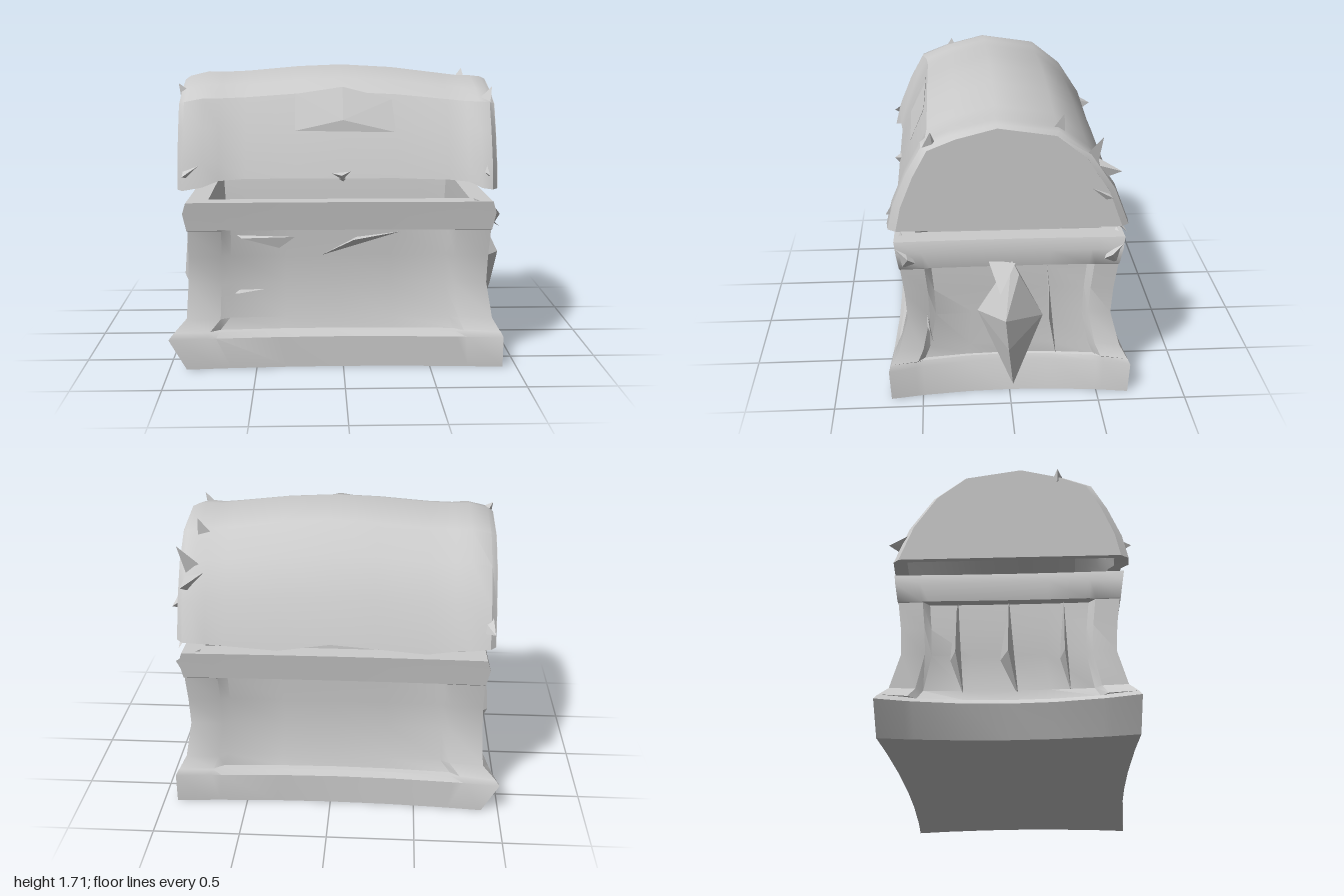
import * as THREE from 'three';
import { toCreasedNormals } from 'three/addons/utils/BufferGeometryUtils.js';
import { ConvexGeometry } from 'three/addons/geometries/ConvexGeometry.js';

const material = new THREE.MeshStandardMaterial({ color: 0xcccccc, side: THREE.DoubleSide });

// Skin closed rings of [x, y, z] points, one after another
function loft(rings) {
  const n = rings[0].length, index = [];
  for (let r = 0; r < rings.length - 1; r++) {
    for (let i = 0; i < n; i++) {
      const a = r * n + i, b = r * n + (i + 1) % n;
      index.push(a, a + n, b, b, a + n, b + n);
    }
  }
  const g = new THREE.BufferGeometry();
  g.setAttribute('position', new THREE.Float32BufferAttribute(rings.flat(2), 3));
  g.setIndex(index);
  return toCreasedNormals(g, 0.6);
}

function add(group, name, geometry) {
  const mesh = new THREE.Mesh(geometry, material);
  mesh.name = name;
  group.add(mesh);
}

// Rectangular ring whose sides bow inwards and may hold sunken panels
function boxRing(y, cx, hx, hz, bowX, bowZ, recess) {
  const steps = [-1, -0.78, -0.72, -0.35, 0, 0.35, 0.72, 0.78];
  const ring = [];
  for (let side = 0; side < 4; side++) {
    for (const t of steps) {
      const sunk = Math.abs(t) < 0.75 ? recess : 0;
      const x = hx - bowX * (1 - t * t) - sunk;
      const z = hz - bowZ * (1 - t * t) - sunk;
      if (side === 0) ring.push([cx + t * hx, y, z]);
      if (side === 1) ring.push([cx + x, y, -t * hz]);
      if (side === 2) ring.push([cx - t * hx, y, -z]);
      if (side === 3) ring.push([cx - x, y, t * hz]);
    }
  }
  return ring;
}

// Small faceted solid around a few points
function shard(group, name, points) {
  add(group, name, new ConvexGeometry(points.map(p => new THREE.Vector3(...p))));
}

function buildBase() {
  const base = new THREE.Group();
  base.name = 'base';
  // y, centre x, half width, half depth, side bow, front and back bow, panel recess
  const levels = [
    [0, 0, 0, 0, 0, 0, 0],
    [0, 0.01, 0.91, 0.68, 0.06, 0.04, 0],
    [0.18, -0.04, 0.96, 0.69, 0.1, 0.05, 0],
    [0.21, -0.035, 0.94, 0.675, 0.09, 0.05, 0.01],
    [0.215, -0.035, 0.935, 0.67, 0.07, 0.05, 0.035],
    [0.28, -0.02, 0.88, 0.63, 0.03, 0.03, 0.03],
    [0.48, -0.03, 0.86, 0.575, 0.02, 0.01, 0.02],
    [0.64, -0.025, 0.86, 0.585, 0.01, 0.01, 0.025],
    [0.795, -0.02, 0.865, 0.605, 0.01, 0.01, 0.035],
    [0.8, -0.02, 0.87, 0.61, 0.01, 0.01, 0],
    [0.9, -0.02, 0.89, 0.625, 0.01, 0.01, 0],
    [0.965, -0.02, 0.87, 0.635, 0.01, 0.01, 0],
    [0.965, -0.02, 0.75, 0.52, 0, 0, 0],
    [0.8, -0.02, 0.74, 0.5, 0, 0, 0],
    [0.25, -0.02, 0.72, 0.48, 0, 0, 0],
    [0.25, 0, 0, 0, 0, 0, 0],
  ];
  add(base, 'chestBody', loft(levels.map(l => boxRing(...l))));

  // Faceted boss on one end, upright ribs on the other
  shard(base, 'rightBoss', [[0.84, 0.84, -0.01], [0.8, 0.5, 0.18], [0.87, 0.04, -0.02],
    [0.82, 0.47, -0.19], [0.99, 0.53, 0.03], [0.95, 0.32, 0.01], [0.87, 0.76, -0.05]]);
  for (const [z, w] of [[-0.28, 0.04], [0, 0.05], [0.3, 0.03]]) {
    shard(base, 'leftRib', [[-0.84, 0.82, z], [-0.84, 0.25, z + w], [-0.84, 0.45, z - w],
      [-0.94, 0.47, z], [-0.92, 0.72, z]]);
  }
  shard(base, 'rightRib', [[0.8, 0.8, -0.21], [0.82, 0.2, -0.27], [0.8, 0.45, -0.24],
    [0.87, 0.48, -0.22], [0.85, 0.65, -0.22]]);
  shard(base, 'rightRib', [[0.8, 0.6, 0.48], [0.8, 0.28, 0.43], [0.8, 0.45, 0.49], [0.85, 0.4, 0.45]]);

  // Broken trim in the front panel
  shard(base, 'frontTrimRight', [[0.4, 0.79, 0.55], [0.08, 0.75, 0.55], [-0.2, 0.6, 0.53], [0.06, 0.74, 0.6]]);
  shard(base, 'frontTrimLeft', [[-0.62, 0.77, 0.55], [-0.2, 0.75, 0.55], [-0.22, 0.64, 0.53], [-0.58, 0.75, 0.59]]);
  shard(base, 'frontSplinter', [[-0.7, 0.41, 0.53], [-0.6, 0.47, 0.53], [-0.25, 0.47, 0.53], [-0.6, 0.42, 0.57]]);

  // Chipped rim corners
  for (const sz of [-1, 1]) {
    shard(base, 'rimChip', [[0.74, 0.98, 0.6 * sz], [0.86, 0.93, 0.63 * sz], [0.88, 0.85, 0.52 * sz],
      [0.84, 0.8, 0.6 * sz], [0.9, 0.88, 0.56 * sz]]);
  }
  shard(base, 'rimSplinter', [[0.84, 0.84, 0.12], [0.84, 0.78, 0.04], [0.85, 0.82, -0.03], [0.99, 0.7, 0.06]]);
  return base;
}

function buildLid() {
  const lid = new THREE.Group();
  lid.name = 'lid';
  const floor = 1.04;
  // Arched section as z, y from front edge to back edge
  const arch = [[0.62, 1.04], [0.59, 1.2], [0.52, 1.4], [0.44, 1.57], [0.29, 1.64],
    [0.07, 1.705], [-0.25, 1.65], [-0.42, 1.5], [-0.55, 1.28], [-0.63, 1.04]];
  const outline = (sy, front, back) => arch.map(([z, y]) => [z * (z > 0 ? front : back), floor + (y - floor) * sy]);
  const section = (x, sy, front, back, lift, sag) => {
    const outer = outline(sy, front, back).map(([z, y]) => [x, y, z]);
    outer[0][1] += lift;
    outer[outer.length - 1][1] -= sag;
    const inner = outer.map(p => [x, floor + (p[1] - floor) * 0.88, p[2] * 0.88]).reverse();
    return [...outer, ...inner];
  };
  // x, height scale, front scale, back scale, lift of front edge, sag of back edge
  const stations = [
    [-0.93, 0.87, 1, 0.97, 0, 0], [-0.9, 0.9, 1.07, 1.02, 0, 0], [-0.79, 0.94, 1.08, 1.03, 0.02, 0.01],
    [-0.7, 0.935, 1.02, 1.01, 0.05, 0.02], [-0.55, 0.945, 1, 1, 0.06, 0.045], [-0.25, 0.985, 1, 1, 0.06, 0.02],
    [0, 1, 1, 1, 0.06, 0], [0.3, 0.975, 1, 1, 0.06, 0.045], [0.6, 0.92, 1, 1.01, 0.05, 0.02],
    [0.71, 0.9, 1.02, 1.02, 0.04, 0.01], [0.78, 0.9, 1.08, 1.04, 0.01, 0], [0.84, 0.89, 1.07, 1.03, 0, 0],
    [0.87, 0.87, 1, 0.97, 0, 0]];
  add(lid, 'archedShell', loft(stations.map(s => section(...s))));

  // Solid end panels closing the shell
  const shape = new THREE.Shape(outline(0.87, 1, 0.97).map(([z, y]) => new THREE.Vector2(-z, y)));
  for (const x of [-0.932, 0.842]) {
    const g = new THREE.ExtrudeGeometry(shape, { depth: 0.03, bevelEnabled: false });
    g.rotateY(Math.PI / 2).translate(x, 0, 0);
    add(lid, 'endPanel', g);
  }

  // Shallow plate and stub on the middle of the front
  shard(lid, 'lockPlate', [[-0.27, 1.36, 0.54], [0.3, 1.35, 0.54], [-0.27, 1.56, 0.45], [0.28, 1.53, 0.46],
    [0, 1.6, 0.45], [0, 1.42, 0.54], [0, 1.4, 0.46]]);
  shard(lid, 'latchStub', [[-0.08, 1.13, 0.6], [0.05, 1.14, 0.6], [0, 1.08, 0.61], [-0.01, 1.12, 0.65]]);

  // Splintered corners: tip, then the root around which a small solid sits
  const spikes = [
    [[0.78, 1.66, -0.29], [0.76, 1.52, -0.27]], [[0.87, 1.56, -0.49], [0.78, 1.36, -0.43]],
    [[0.84, 1.35, -0.6], [0.78, 1.36, -0.46]], [[0.9, 1.22, -0.55], [0.82, 1.25, -0.45]],
    [[0.86, 1.6, 0.42], [0.8, 1.44, 0.42]], [[0.82, 1.12, 0.67], [0.76, 1.16, 0.56]],
    [[-0.95, 1.61, 0.28], [-0.88, 1.5, 0.28]], [[-0.9, 1.12, 0.68], [-0.83, 1.15, 0.57]],
    [[-0.92, 1.14, -0.67], [-0.85, 1.18, -0.54]], [[0.86, 1, -0.64], [0.8, 1.12, -0.54]],
  ];
  for (const [tip, [x, y, z]] of spikes) {
    shard(lid, 'splinter', [tip, [x - 0.06, y + 0.04, z], [x + 0.04, y + 0.04, z + 0.06],
      [x + 0.02, y - 0.07, z - 0.03], [x, y, z - 0.06 * Math.sign(z)]]);
  }
  return lid;
}

export function createModel() {
  const chest = new THREE.Group();
  chest.name = 'treasureChest';
  chest.add(buildBase(), buildLid());
  return chest;
}
